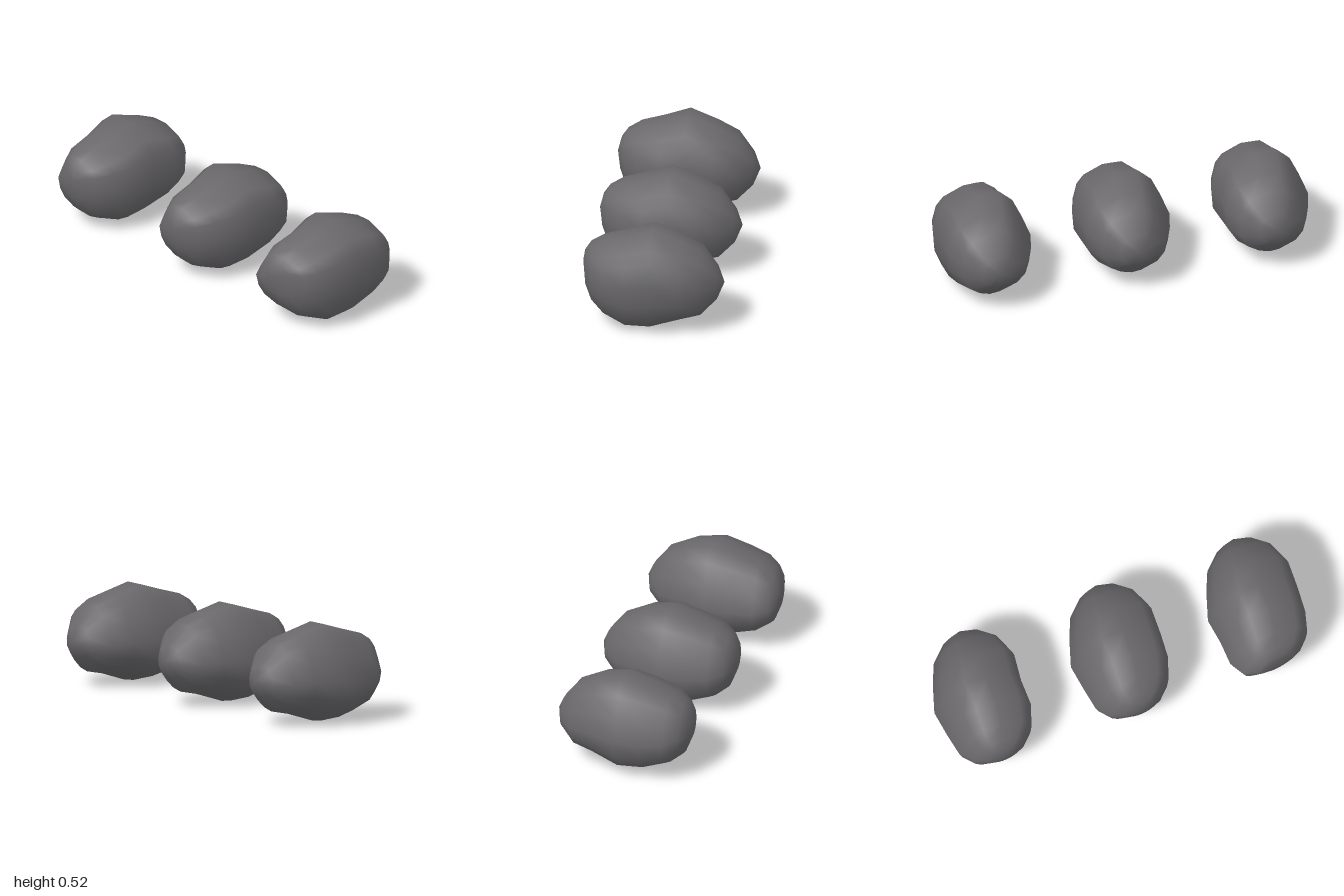
import * as THREE from 'three';

const stone = new THREE.MeshStandardMaterial({ color: 0x69676a });
stone.name = 'darkGreyStone';

// Widest section, counter-clockwise from the front
const outline = [
  [-0.25, 0.24], [-0.225, 0.14], [-0.17, 0.07], [-0.05, 0.015], [0.02, 0.005], [0.1, 0.025], [0.175, 0.07],
  [0.235, 0.17], [0.245, 0.29], [0.22, 0.4], [0.175, 0.46], [0.04, 0.52], [-0.08, 0.52], [-0.15, 0.46], [-0.2, 0.36],
];

// Extents along the length, back to front: z, xMin, xMax, yMin, yMax
const sections = [
  [-0.34, -0.08, 0.12, 0.16, 0.33], [-0.26, -0.16, 0.2, 0.08, 0.43], [-0.15, -0.205, 0.245, 0.055, 0.48],
  [0, -0.25, 0.243, 0.005, 0.525], [0.13, -0.227, 0.238, 0.01, 0.485], [0.25, -0.205, 0.195, 0.06, 0.45],
  [0.32, -0.15, 0.13, 0.12, 0.41], [0.352, -0.085, 0.075, 0.2, 0.37],
];

// Boulder: the outline fitted to every section, closed by a point at both ends.
// waist dents the left flank, keel shifts the underside to the left, skew slants and broadens the front.
function boulder(waist, keel, skew) {
  const position = [], index = [];
  const n = outline.length;
  for (const [z, x0, x1, y0, y1] of sections) {
    const nose = Math.max(0, z - 0.2) * skew;
    for (const [px, py] of outline) {
      const x = x0 + (x1 - x0) * (px + 0.25) / 0.495;
      const y = y0 + (y1 - y0) * (py - 0.005) / 0.515;
      const dent = waist * Math.max(0, x / 0.24) * Math.exp(-((z / 0.12) ** 2));
      const shift = keel * Math.max(0, 1 - y / 0.2) ** 2;
      position.push(x * (1 + 1.5 * nose) - dent + shift, y, z - nose * x);
    }
  }
  position.push(0.023, 0.25, -0.377, -0.06 * skew, 0.3, 0.37);

  const last = (sections.length - 1) * n;
  const backTip = last + n, frontTip = backTip + 1;
  for (let i = 0; i < n; i++) {
    const j = (i + 1) % n;
    index.push(backTip, j, i, frontTip, last + i, last + j);
    for (let r = 0; r < last; r += n) {
      index.push(r + i, r + j, r + n + j, r + i, r + n + j, r + n + i);
    }
  }
  const geometry = new THREE.BufferGeometry();
  geometry.setAttribute('position', new THREE.Float32BufferAttribute(position, 3));
  geometry.setIndex(index);
  geometry.computeVertexNormals();
  return geometry;
}

export function createModel() {
  const group = new THREE.Group();
  group.name = 'rocks';
  const addRock = (name, x, geometry) => {
    const mesh = new THREE.Mesh(geometry, stone);
    mesh.name = name;
    mesh.position.x = x;
    group.add(mesh);
  };
  addRock('rightRock', -0.75, boulder(0.016, 0, 0));
  addRock('middleRock', 0, boulder(0, 0, 0.1));
  addRock('leftRock', 0.753, boulder(0, 0.045, 1));
  return group;
}
